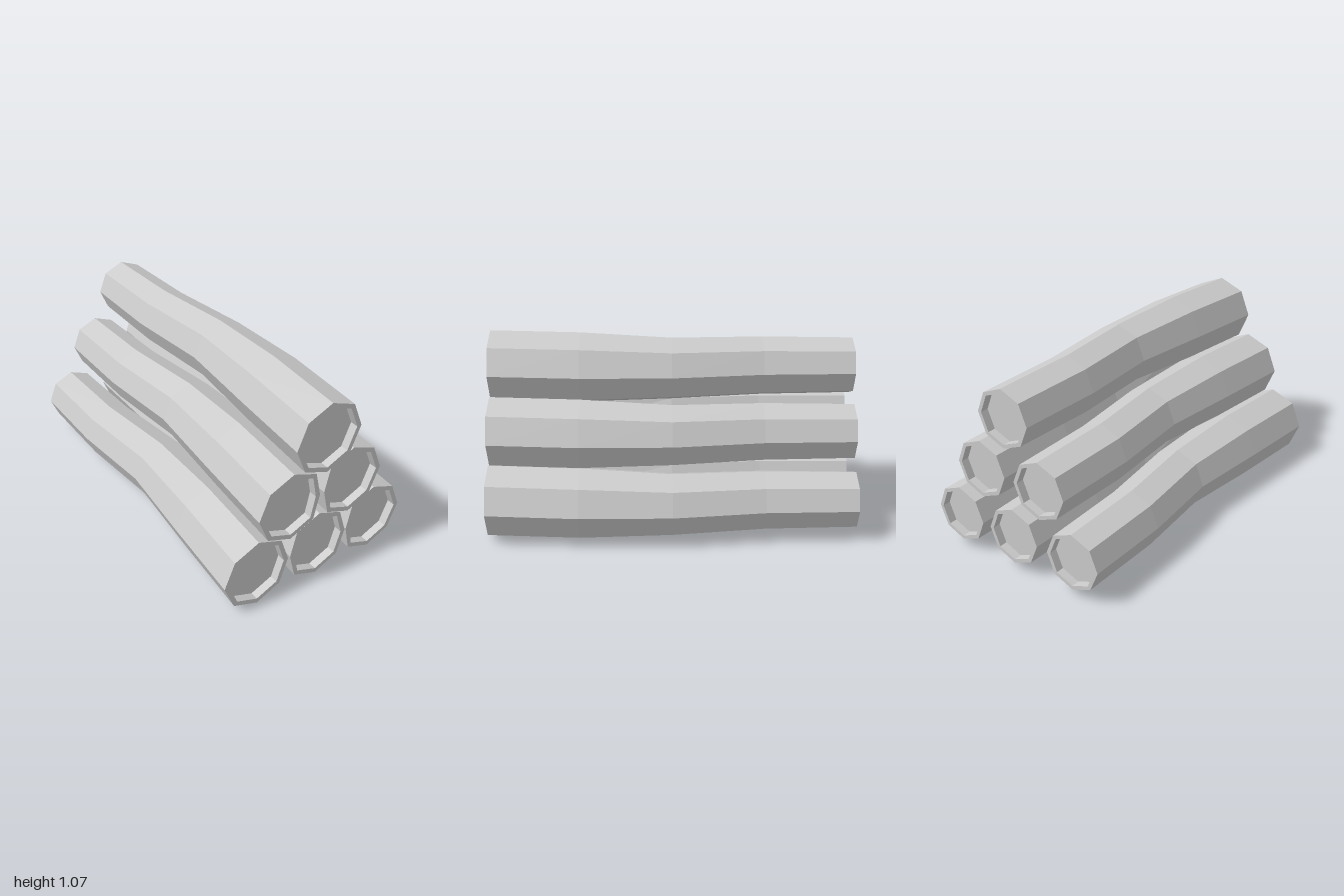
import * as THREE from 'three';

const SIDES = 8;
const RIM = 0.865;    // inner edge of the end rim, relative to the log radius
const RECESS = 0.045; // depth of the sunken end faces

// Log sections from front to back: [z, radius, sideways bend]
const SECTIONS = [
  [1, 0.203, 0],
  [0.5, 0.201, 0.041],
  [0, 0.176, 0.065],
  [-0.5, 0.168, 0.017],
  [-1, 0.16, 0.016],
];

// Lofts one bent octagonal log; dentL / dentR flatten the sides that touch a neighbour
function logGeometry(dentL, dentR) {
  const first = SECTIONS[0], last = SECTIONS[SECTIONS.length - 1];
  const end = ([z, r, bend], dir) => [
    [z - dir * RECESS, 0, bend],
    [z - dir * RECESS, r * RIM, bend],
    [z, r * RIM, bend],
  ];
  const rings = [...end(first, 1), ...SECTIONS, ...end(last, -1).reverse()];

  const point = (i, k) => {
    const [z, r, bend] = rings[i];
    const a = ((k % SIDES) / SIDES) * Math.PI * 2;
    let x = Math.cos(a) * r;
    if (z > 0.4 && r > 0) {
      if (k % SIDES === 0) x -= dentR;
      if (k % SIDES === SIDES / 2) x += dentL;
    }
    return [x + bend, Math.sin(a) * r, z];
  };

  const pos = [];
  for (let i = 0; i < rings.length - 1; i++) {
    for (let k = 0; k < SIDES; k++) {
      const a = point(i, k), b = point(i + 1, k);
      const c = point(i + 1, k + 1), d = point(i, k + 1);
      if (rings[i + 1][1] > 0) pos.push(...a, ...b, ...c);
      if (rings[i][1] > 0) pos.push(...a, ...c, ...d);
    }
  }
  const geo = new THREE.BufferGeometry();
  geo.setAttribute('position', new THREE.Float32BufferAttribute(pos, 3));
  geo.computeVertexNormals();
  return geo;
}

export function createModel() {
  const model = new THREE.Group();
  model.name = 'logPile';
  const material = new THREE.MeshStandardMaterial({ color: 0xcccccc, flatShading: true });

  // Stacked three, two, one: [name, x, y, dentL, dentR]
  const logs = [
    ['bottomRightLog', -0.398, 0.203, 0, 0.01],
    ['bottomMiddleLog', -0.012, 0.203, 0.023, 0.014],
    ['bottomLeftLog', 0.36, 0.203, 0.028, 0],
    ['middleRightLog', -0.198, 0.533, 0, 0.026],
    ['middleLeftLog', 0.183, 0.533, 0.026, 0],
    ['topLog', 0.013, 0.863, 0, 0],
  ];
  for (const [name, x, y, dentL, dentR] of logs) {
    const log = new THREE.Mesh(logGeometry(dentL, dentR), material);
    log.name = name;
    log.position.set(x, y, 0);
    model.add(log);
  }
  return model;
}
